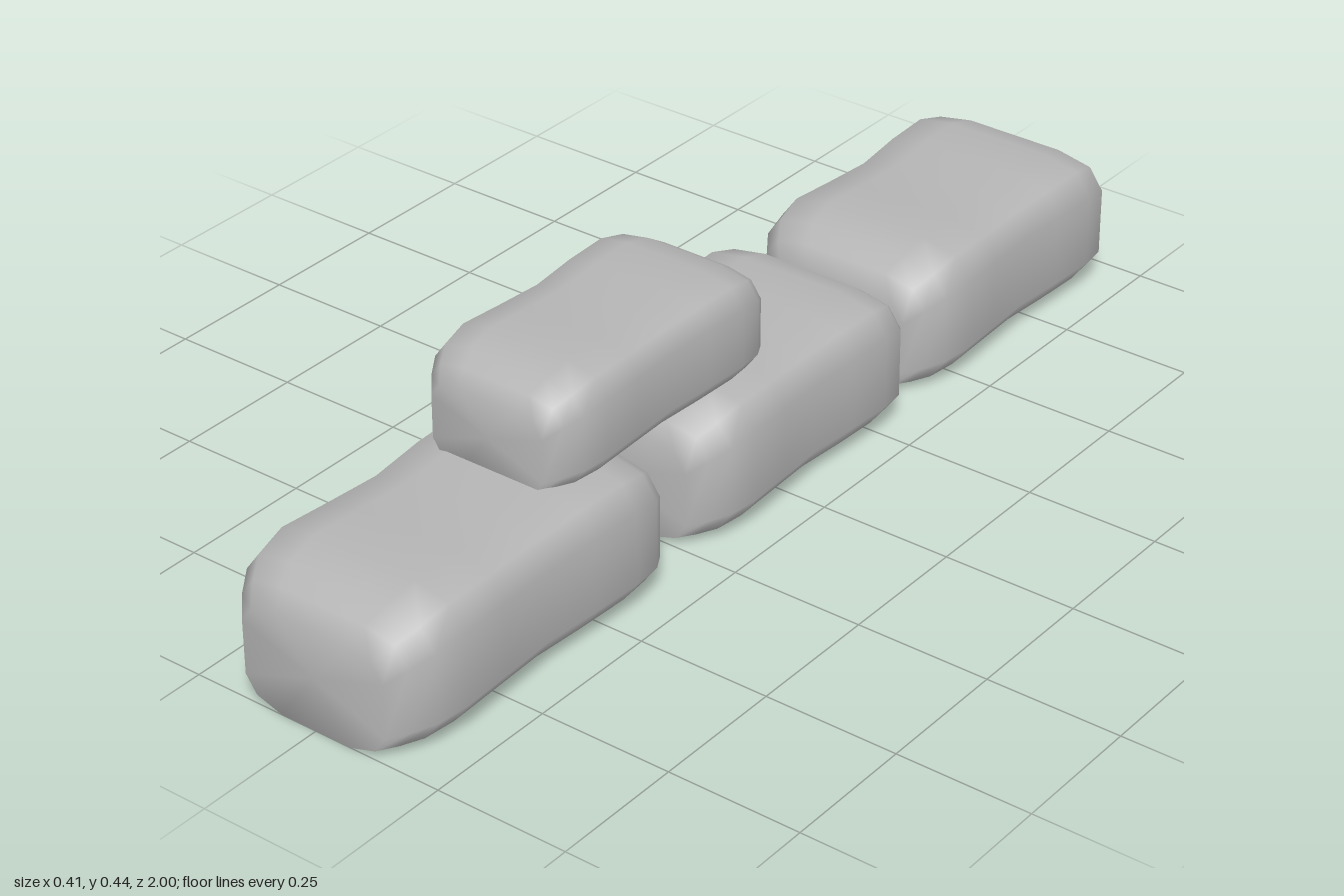
import * as THREE from 'three';

// Half cross-section of a filled bag, bottom to top: x and y as fractions of half width and height
const PROFILE = [[0.5, 0], [0.85, 0.085], [1, 0.25], [1, 0.78], [0.85, 0.945], [0.5, 1]];
const RING = [...PROFILE, ...PROFILE.slice().reverse().map(([x, y]) => [-x, y])];

// Stations along the bag: position 0..1, half width, height, sag of the top
const STATIONS = [
  [0, 0.145, 0.19], [0.045, 0.172, 0.218], [0.1, 0.195, 0.242], [0.19, 0.204, 0.258],
  [0.34, 0.2, 0.257], [0.5, 0.192, 0.25], [0.66, 0.198, 0.253],
  [0.81, 0.204, 0.257], [0.9, 0.195, 0.242], [0.955, 0.172, 0.218], [1, 0.145, 0.19],
];

function bagGeometry(length) {
  const pos = [], index = [], n = RING.length;
  for (const [t, w, h] of STATIONS) {
    for (const [x, y] of RING) pos.push(x * w, y * h, (t - 0.5) * length);
  }
  // Skin between neighbouring rings
  for (let i = 0; i < STATIONS.length - 1; i++) {
    for (let j = 0; j < n; j++) {
      const k = (j + 1) % n;
      const a = i * n + j, b = i * n + k, c = b + n, d = a + n;
      index.push(a, b, d, b, c, d);
    }
  }
  // End caps, sharing the ring vertices so the ends shade softly
  const back = pos.length / 3, front = back + 1, last = (STATIONS.length - 1) * n;
  pos.push(0, 0.1, -length / 2, 0, 0.1, length / 2);
  for (let j = 0; j < n; j++) {
    const k = (j + 1) % n;
    index.push(back, k, j, front, last + j, last + k);
  }
  const g = new THREE.BufferGeometry();
  g.setAttribute('position', new THREE.Float32BufferAttribute(pos, 3));
  g.setIndex(index);
  g.computeVertexNormals();
  return g;
}

export function createModel() {
  const group = new THREE.Group();
  group.name = 'sandbagRow';
  const cloth = new THREE.MeshStandardMaterial({ color: 0xb4b4b4 });
  cloth.name = 'grey cloth';

  // name, back z, front z, centre x, base y, section scale
  const bags = [
    ['backBag', -1, -0.372, 0, 0, 1],
    ['middleBag', -0.355, 0.248, 0, 0, 1],
    ['frontBag', 0.32, 1, 0, 0, 1],
    ['upperBag', -0.012, 0.56, -0.013, 0.235, 0.79],
  ];
  for (const [name, z0, z1, x, y, s] of bags) {
    const bag = new THREE.Mesh(bagGeometry(z1 - z0), cloth);
    bag.name = name;
    bag.position.set(x, y, (z0 + z1) / 2);
    bag.scale.set(s, s, 1);
    group.add(bag);
  }
  return group;
}
